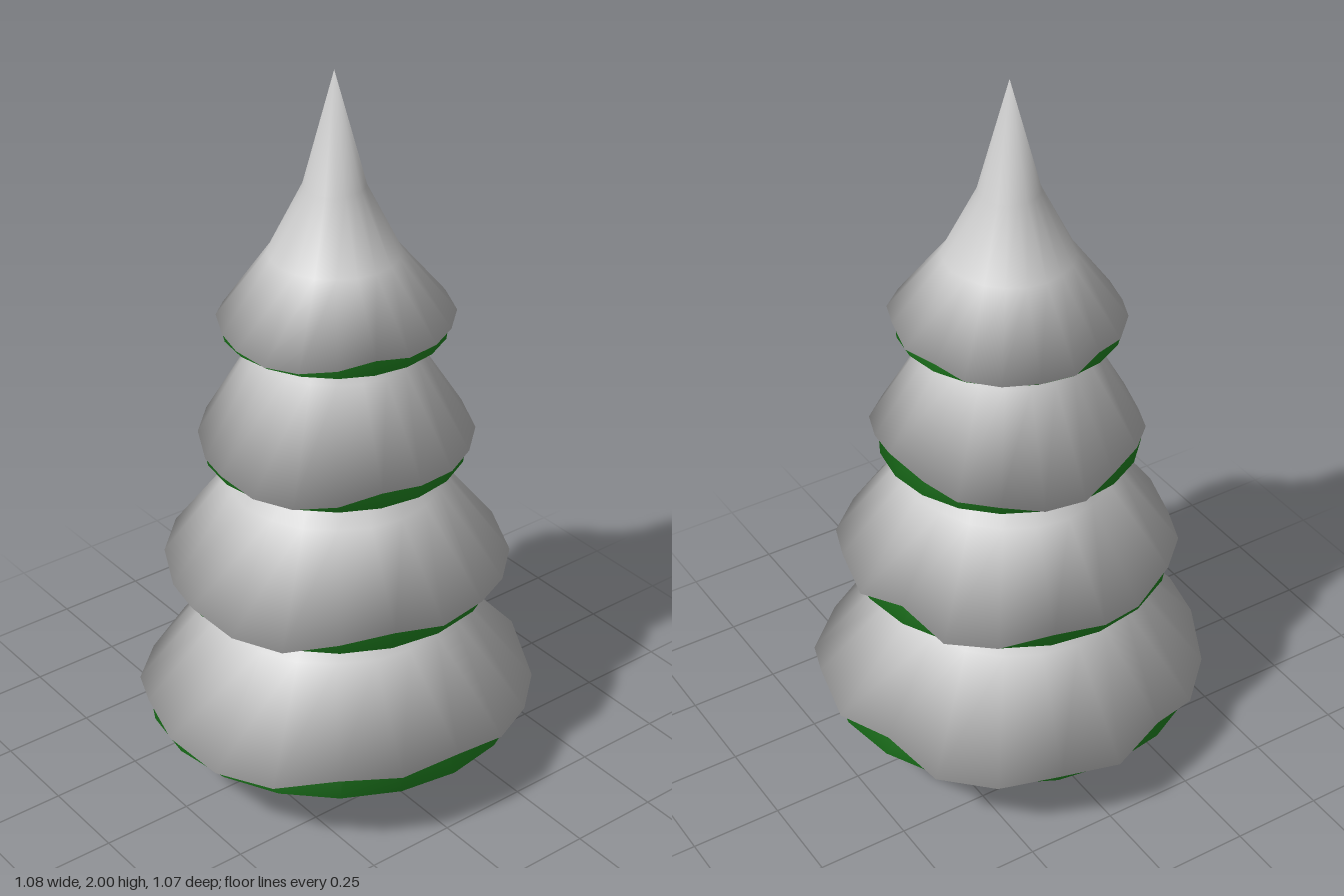
import * as THREE from 'three';
import { toCreasedNormals } from 'three/addons/utils/BufferGeometryUtils.js';

const SIDES = 20;
const material = (color) => new THREE.MeshStandardMaterial({ color });

// Rim unevenness (percent of radius), going from front round to the model's left
const WOBBLE = [0, 1, 1, 3, 0, 1, -5, 0, 0, 0, 0, -5, -2, -1, -2, 1, 1, 2, -3, 0];

// Each tier: base height, green radius, snow rim radius, snow profile above
// the rim as [radius, y], and rim height above the base in hundredths
const TIERS = [
  { y: 0.2, core: 0.515, rim: 0.537, profile: [[0.33, 0.485], [0.27, 0.6], [0.2, 0.68]],
    lift: [7, 3.5, 1.5, 0.5, 7, 4.5, 6, 1, 1, 4, 2, 5, 1, 2, 6, 5, 2.5, 3.5, 5.5, 5.5] },
  { y: 0.6, core: 0.435, rim: 0.458, profile: [[0.285, 0.87], [0.215, 0.97], [0.15, 1.05]],
    lift: [3.5, 4, 2.5, 2.5, 5.5, 3, 6, 1, 2, 5.5, 4, 1, 5, 4, 2, 3.5, 1, 1, 3, 6] },
  { y: 0.965, core: 0.345, rim: 0.358, profile: [[0.215, 1.25], [0.185, 1.32], [0.13, 1.4]],
    lift: [4, 3.5, 3.5, 4, 6, 8, 4, 3, 3, 1, 1, 3, 5, 4, 2, 3, 1, 1, 1.5, 5] },
  { y: 1.315, core: 0.292, rim: 0.303, profile: [[0.17, 1.52], [0.08, 1.7], [0, 2]],
    lift: [3, 3, 3, 3.5, 4.5, 2.5, 2, 1, 0.7, 1, 1, 3, 2, 3, 2, 2, 1, 1.5, 2, 4.5] },
];

// Skin over rings of [radius, y] per side, shaded smoothly around the rim ring.
// Rings below the rim form its underside; a rim at ring 0 is closed by a flat cap.
function roundedSkin(rings, rim) {
  const pos = [];
  const slopes = [];
  const bottom = [];
  rings.forEach((ring, j) => {
    for (let i = 0; i < SIDES; i++) {
      const a = (i / SIDES) * Math.PI * 2;
      const [r, y] = ring(i);
      pos.push(r * Math.sin(a), y, r * Math.cos(a));
      if (j === rings.length - 1) continue;
      const p = j * SIDES + i;
      const q = j * SIDES + ((i + 1) % SIDES);
      (j < rim ? bottom : slopes).push(p, q, q + SIDES, p, q + SIDES, p + SIDES);
    }
  });
  if (rim === 0) {
    // Cap in strips across the disc, using only the rim corners
    const corner = (k) => (k + 2 + SIDES) % SIDES;
    for (let j = 0; j < SIDES / 2; j++) {
      if (j > 0) bottom.push(corner(j), corner(-j), corner(j + 1));
      if (j < SIDES / 2 - 1) bottom.push(corner(-j), corner(-j - 1), corner(j + 1));
    }
  }
  const geo = new THREE.BufferGeometry();
  geo.setAttribute('position', new THREE.Float32BufferAttribute(pos, 3));
  geo.setIndex(slopes);
  geo.computeVertexNormals();
  geo.setIndex([...slopes, ...bottom]);

  // Blend around the seam, rim and underside, and point the tip straight up
  const normal = geo.attributes.normal;
  const n = new THREE.Vector3();
  const last = (rings.length - 1) * SIDES;
  for (let i = 0; i < SIDES; i++) {
    n.fromBufferAttribute(normal, rim * SIDES + i);
    n.y -= 0.97;
    n.normalize();
    for (let j = 0; j <= rim; j++) normal.setXYZ(j * SIDES + i, n.x, n.y, n.z);
    if (rings[rings.length - 1](i)[0] === 0) normal.setXYZ(last + i, 0, 1, 0);
  }
  return geo;
}

// Uneven snow: underside, rim, then rings up the slope
function snowGeometry({ y, core, rim, profile, lift }) {
  const slope = (core - profile[0][0] + 0.035) / (profile[0][1] - y);
  return roundedSkin([
    (i) => [core - (slope * lift[i]) / 100 - 0.01, y + lift[i] / 100 + 0.004],
    (i) => [rim * (1 + WOBBLE[i] / 100), y + lift[i] / 100],
    ...profile.map(([r, h]) => (i) => [r * (1 + WOBBLE[i] / 200), h]),
  ], 1);
}

// Green cone with a flat base, lying just under the snow
function branchGeometry({ y, core, profile: [mid, next] }) {
  return roundedSkin([
    [core, y],
    [mid[0] - 0.035, mid[1]],
    [Math.max(next[0] - 0.04, 0.03), next[1]],
    [0, next[1] + 0.03],
  ].map((point) => () => point), 0);
}

export function createModel() {
  const tree = new THREE.Group();
  tree.name = 'snowyTree';
  const green = material(0x228b22);
  const white = material(0xcccccc);
  white.side = THREE.DoubleSide;

  const add = (name, geo, mat, z) => {
    const mesh = new THREE.Mesh(geo, mat);
    mesh.name = name;
    mesh.position.z = z;
    tree.add(mesh);
  };

  // Flared trunk
  const trunk = [[0, 0], [0.127, 0], [0.1, 0.1], [0.085, 0.2], [0.08, 0.26], [0, 0.26]]
    .map(([r, y]) => new THREE.Vector2(r, y));
  add('trunk', toCreasedNormals(new THREE.LatheGeometry(trunk, 16), 0.9), material(0x5f4a2c), 0.012);

  // Branch tiers with their snow
  TIERS.forEach((tier, k) => {
    add(`branches${k + 1}`, branchGeometry(tier), green, 0.008);
    add(`snow${k + 1}`, snowGeometry(tier), white, k === 0 ? 0 : 0.006);
  });
  return tree;
}
